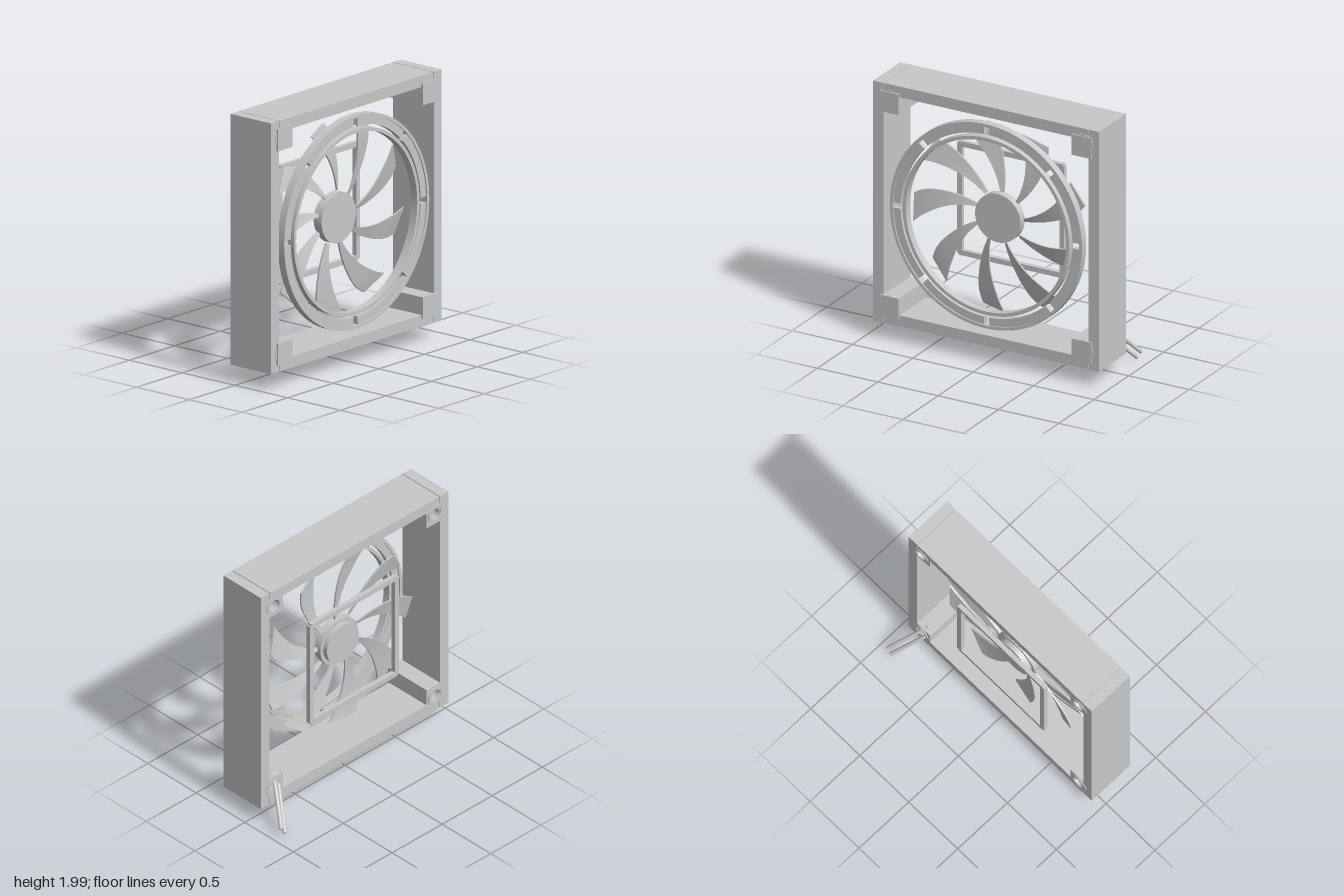
import * as THREE from 'three';
import { toCreasedNormals } from 'three/addons/utils/BufferGeometryUtils.js';

const CX = -0.01, CY = 1.065;      // fan axis
const BACK = -0.09, FRONT = 0.297; // housing depth
const grey = new THREE.MeshStandardMaterial({ color: 0xc8c8c8 });

function add(parent, name, geometry, x = 0, y = 0, z = 0) {
  const mesh = new THREE.Mesh(geometry, grey);
  mesh.name = name;
  mesh.position.set(x, y, z);
  parent.add(mesh);
  return mesh;
}

function extrude(shape, depth, curveSegments = 48) {
  const g = new THREE.ExtrudeGeometry(shape, { depth, bevelEnabled: false, curveSegments });
  return toCreasedNormals(g, 0.6);
}

function ring(outer, inner, depth, segments = 48) {
  const shape = new THREE.Shape().absarc(0, 0, outer, 0, Math.PI * 2);
  shape.holes.push(new THREE.Path().absarc(0, 0, inner, 0, Math.PI * 2, true));
  return extrude(shape, depth, segments);
}

function disc(radius, depth) {
  return new THREE.CylinderGeometry(radius, radius, depth, 64).rotateX(Math.PI / 2);
}

// Curved, slightly pitched blade lofted outwards from the hub
function bladeGeometry() {
  // radius, leading-edge angle, trailing-edge angle (degrees)
  const profile = new THREE.CatmullRomCurve3([
    [0.2, -4, 3], [0.31, -1.5, 9], [0.42, 1.5, 14.5], [0.57, 6, 22], [0.65, 9, 25.5], [0.725, 13, 29],
  ].map(p => new THREE.Vector3(...p)));
  const n = 16, half = 0.007, pos = [], idx = [];
  for (let i = 0; i <= n; i++) {
    const t = i / n, p = profile.getPoint(t);
    const corner = (deg, z) => {
      const a = THREE.MathUtils.degToRad(deg);
      pos.push(p.x * Math.cos(a), p.x * Math.sin(a), z);
    };
    const zLead = 0.09 - 0.02 * t, zTrail = 0.1 + 0.02 * t;
    corner(p.y, zLead + half);
    corner(p.z, zTrail + half);
    corner(p.z, zTrail - half);
    corner(p.y, zLead - half);
    if (i < n) for (let k = 0; k < 4; k++) {
      const a = i * 4 + k, b = i * 4 + (k + 1) % 4;
      idx.push(a, a + 4, b + 4, a, b + 4, b);
    }
  }
  const e = n * 4;
  idx.push(0, 1, 2, 0, 2, 3, e, e + 3, e + 2, e, e + 2, e + 1);
  const g = new THREE.BufferGeometry();
  g.setAttribute('position', new THREE.Float32BufferAttribute(pos, 3));
  g.setIndex(idx);
  return toCreasedNormals(g, 0.6);
}

function rod(parent, name, from, to, radius) {
  const a = new THREE.Vector3(...from), b = new THREE.Vector3(...to);
  const mesh = add(parent, name, new THREE.CylinderGeometry(radius, radius, a.distanceTo(b), 16));
  mesh.position.copy(a).add(b).multiplyScalar(0.5);
  mesh.quaternion.setFromUnitVectors(new THREE.Vector3(0, 1, 0), b.sub(a).normalize());
}

export function createModel() {
  const model = new THREE.Group();
  model.name = 'caseFan';
  const fan = new THREE.Group();
  fan.name = 'fan';
  fan.position.set(CX, CY, 0);
  model.add(fan);

  // Housing walls, with a fine seam beside each side wall
  const half = 0.935, wall = 0.085, depth = FRONT - BACK, mid = (FRONT + BACK) / 2;
  for (const s of [-1, 1]) {
    add(fan, 'sideWall', new THREE.BoxGeometry(wall, half * 2, depth), s * (half - wall / 2), 0, mid);
    add(fan, 'endWall', new THREE.BoxGeometry(2 * (half - wall) - 0.012, wall, depth), 0, s * (half - wall / 2), mid);
  }

  // Corner posts with screw holes, rims and front pads
  const post = new THREE.Shape();
  post.moveTo(-0.08, -0.08).lineTo(0.08, -0.08).lineTo(0.08, 0.08).lineTo(-0.08, 0.08).closePath();
  post.holes.push(new THREE.Path().absarc(0, 0, 0.05, 0, Math.PI * 2, true));
  const postGeo = extrude(post, depth - 0.002, 12);
  const rimGeo = ring(0.075, 0.05, 0.012, 16);
  for (const sx of [-1, 1]) for (const sy of [-1, 1]) {
    const x = sx * 0.797, y = sy * 0.797;
    add(fan, 'cornerPost', postGeo, x, y, BACK + 0.001);
    add(fan, 'screwHoleRim', rimGeo, x + sx * 0.01, y + sy * 0.01, BACK - 0.006);
    add(fan, 'screwDisc', disc(0.09, 0.01), x + sx * 0.006, y + sy * 0.006, FRONT);
    add(fan, 'cornerPad', new THREE.BoxGeometry(0.162, 0.162, 0.03), x, y, 0.295);
  }

  // Front ring: two rims and eight band segments
  add(fan, 'outerRim', ring(0.796, 0.772, 0.06), 0, 0, 0.24);
  add(fan, 'innerRim', ring(0.69, 0.664, 0.06), 0, 0, 0.24);
  for (let i = 0; i < 8; i++) {
    const a0 = i * Math.PI / 4 + 0.03, a1 = (i + 1) * Math.PI / 4 - 0.03;
    const band = new THREE.Shape().absarc(0, 0, 0.774, a0, a1).absarc(0, 0, 0.712, a1, a0, true);
    add(fan, 'ringBand', extrude(band, 0.04, 16), 0, 0, 0.25);
  }

  // Stepped hub and nine blades
  add(fan, 'hubCap', disc(0.188, 0.06), 0, 0, 0.1);
  add(fan, 'hubBack', disc(0.16, 0.05), 0, 0, 0.055);
  const bladeGeo = bladeGeometry();
  for (let i = 0; i < 9; i++) {
    add(fan, 'blade', bladeGeo).rotation.z = THREE.MathUtils.degToRad(5 + i * 40);
  }

  // Square rear bracket with notched corners
  for (const s of [-1, 1]) {
    add(fan, 'bracketBar', new THREE.BoxGeometry(0.86, 0.04, 0.035), 0, s * 0.424, -0.07);
    add(fan, 'bracketPost', new THREE.BoxGeometry(0.04, 0.86, 0.034), s * 0.424, 0, -0.07);
  }

  // Pair of leads leaving the rear lower corner
  rod(model, 'lead', [0.725, 0.305, -0.05], [0.893, 0.016, -0.302], 0.015);
  rod(model, 'lead', [0.765, 0.35, -0.05], [0.928, 0.066, -0.302], 0.015);
  return model;
}
